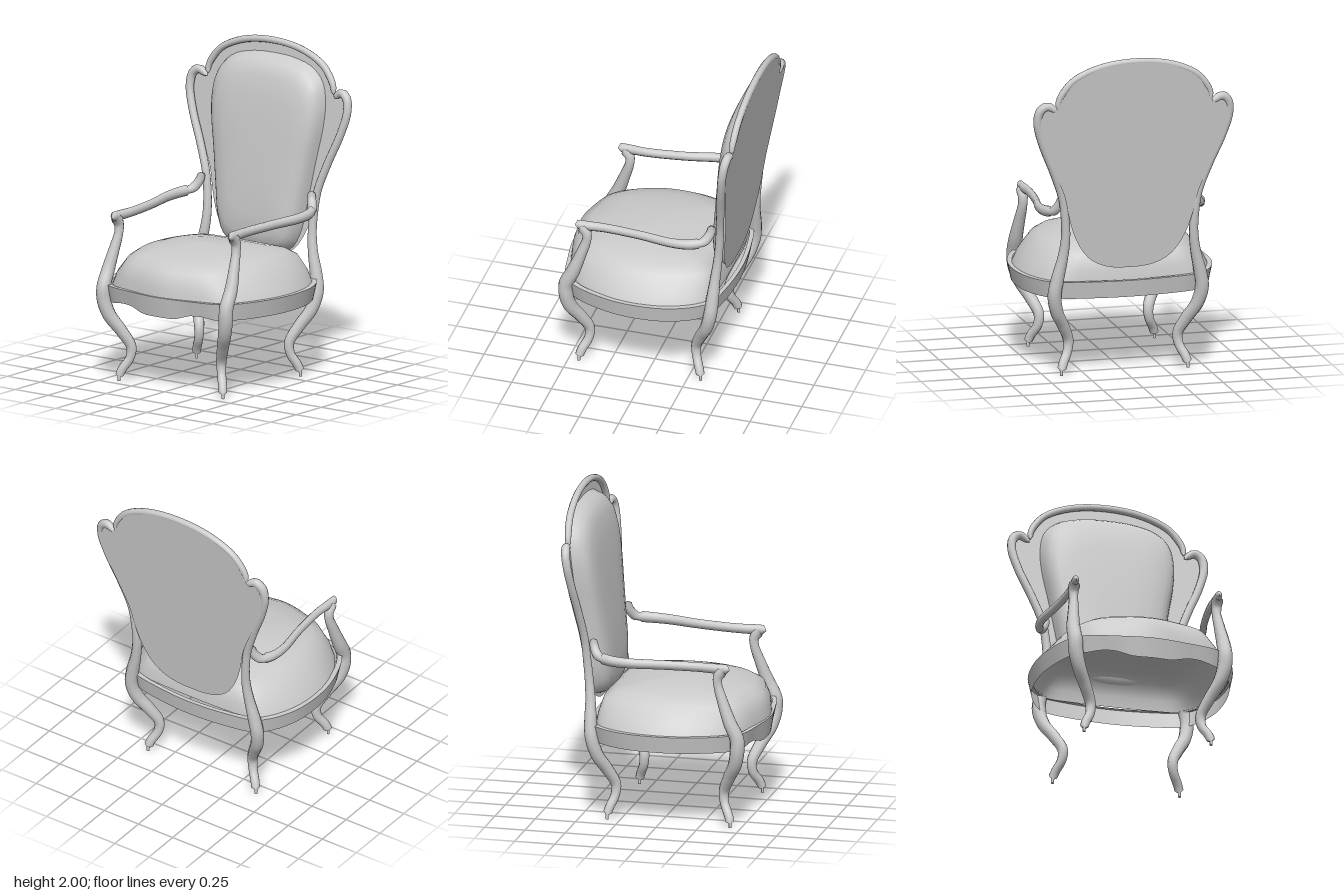
import * as THREE from 'three';
import { toCreasedNormals } from 'three/addons/utils/BufferGeometryUtils.js';

const wood = new THREE.MeshStandardMaterial({ color: 0xcccccc });
const thin = new THREE.MeshStandardMaterial({ color: 0xcccccc, side: THREE.DoubleSide });

// Rail along points [x, y, z, radius]; flat narrows its section in x
function rail(points, steps = 48, flat = 1, sides = 10) {
  const curve = new THREE.CatmullRomCurve3(points.map(p => new THREE.Vector3(p[0], p[1], p[2])), false, 'centripetal');
  const geo = new THREE.TubeGeometry(curve, steps, 1, sides, false);
  const pos = geo.attributes.position, v = new THREE.Vector3();
  for (let i = 0; i <= steps; i++) {
    const t = curve.getUtoTmapping(i / steps) * (points.length - 1);
    const k = Math.min(Math.floor(t), points.length - 2);
    let r = THREE.MathUtils.lerp(points[k][3], points[k + 1][3], t - k);
    if (i === 0 || i === steps) r = 0.001; // closed ends
    const c = curve.getPointAt(i / steps);
    for (let j = 0; j <= sides; j++) {
      const n = i * (sides + 1) + j;
      v.fromBufferAttribute(pos, n).sub(c).multiplyScalar(r);
      v.x *= flat;
      v.add(c);
      pos.setXYZ(n, v.x, v.y, v.z);
    }
  }
  return geo;
}

// Closed symmetric outline from its +x half, running from one centre point to the other
function outline(half, count) {
  const mirrored = half.slice(1, -1).reverse().map(([x, y]) => [-x, y]);
  const pts = [...half, ...mirrored].map(([x, y]) => new THREE.Vector3(x, y, 0));
  return new THREE.CatmullRomCurve3(pts, true, 'centripetal').getPoints(count).slice(0, count);
}

// Skin over a list of equal closed rings
function loft(rings, crease = 0.6) {
  const n = rings[0].length, index = [];
  for (let r = 0; r < rings.length - 1; r++) {
    for (let i = 0; i < n; i++) {
      const a = r * n + i, b = r * n + (i + 1) % n;
      index.push(a, b, a + n, b, b + n, a + n);
    }
  }
  const geo = new THREE.BufferGeometry().setFromPoints(rings.flat());
  geo.setIndex(index);
  return toCreasedNormals(geo, crease);
}

export function createModel() {
  const chair = new THREE.Group();
  const add = (name, geo, mat = wood) => {
    const mesh = new THREE.Mesh(geo, mat);
    mesh.name = name;
    chair.add(mesh);
  };
  const pair = (name, points, steps, flat) => {
    add(name + 'Left', rail(points, steps, flat));
    add(name + 'Right', rail(points.map(([x, y, z, r]) => [-x, y, z, r]), steps, flat));
  };

  // Front legs running up into the arm posts
  pair('frontLeg', [
    [0.395, 0.022, 0.435, 0.018], [0.392, 0.04, 0.432, 0.027],
    [0.38, 0.075, 0.42, 0.028], [0.348, 0.14, 0.388, 0.028], [0.342, 0.21, 0.383, 0.032],
    [0.385, 0.31, 0.425, 0.037], [0.438, 0.41, 0.475, 0.042], [0.462, 0.5, 0.495, 0.045],
    [0.466, 0.58, 0.495, 0.045], [0.466, 0.68, 0.45, 0.042], [0.455, 0.8, 0.405, 0.034],
    [0.445, 0.9, 0.372, 0.028], [0.445, 0.95, 0.37, 0.03], [0.445, 0.985, 0.39, 0.036], [0.445, 1.005, 0.41, 0.028],
  ], 64);

  // Back legs running up into the back stiles and their curled tops
  pair('backLegAndStile', [
    [0.395, 0.022, -0.33, 0.018], [0.392, 0.04, -0.328, 0.027],
    [0.38, 0.075, -0.317, 0.028], [0.348, 0.14, -0.292, 0.028], [0.342, 0.21, -0.288, 0.032],
    [0.385, 0.31, -0.33, 0.037], [0.438, 0.41, -0.38, 0.04], [0.46, 0.52, -0.41, 0.042],
    [0.445, 0.62, -0.42, 0.04], [0.415, 0.75, -0.428, 0.032], [0.4, 0.87, -0.44, 0.028],
    [0.405, 1.0, -0.452, 0.026], [0.425, 1.13, -0.462, 0.025], [0.485, 1.3, -0.483, 0.025],
    [0.56, 1.48, -0.508, 0.025], [0.597, 1.62, -0.528, 0.026], [0.585, 1.7, -0.54, 0.028],
    [0.545, 1.73, -0.547, 0.027], [0.51, 1.715, -0.55, 0.023], [0.48, 1.69, -0.55, 0.012],
  ], 90);

  // Small pins under the feet
  for (const x of [-0.395, 0.395]) {
    for (const z of [-0.33, 0.435]) {
      add('footPin', new THREE.CylinderGeometry(0.009, 0.009, 0.04, 10).translate(x, 0.02, z));
    }
  }

  // Arms, taller than wide, with a raised rear knob
  pair('arm', [
    [0.445, 1.0, 0.445, 0.018], [0.445, 1.005, 0.425, 0.03], [0.443, 1.005, 0.36, 0.031],
    [0.438, 1.006, 0.26, 0.029], [0.46, 1.01, 0.02, 0.029], [0.493, 1.015, -0.17, 0.031],
    [0.49, 1.02, -0.28, 0.033], [0.465, 1.028, -0.355, 0.034],
  ], 40, 0.7);
  pair('armKnob', [
    [0.475, 1.022, -0.335, 0.022], [0.45, 1.04, -0.375, 0.03], [0.425, 1.085, -0.402, 0.028],
    [0.418, 1.115, -0.408, 0.026], [0.416, 1.133, -0.41, 0.014],
  ], 16);

  // Arched top rail
  const crest = [
    [0.475, 1.71, -0.55, 0.012], [0.475, 1.75, -0.552, 0.018], [0.45, 1.805, -0.557, 0.021],
    [0.38, 1.883, -0.563, 0.021], [0.22, 1.953, -0.568, 0.021],
  ];
  add('topRail', rail([
    ...crest, [0, 1.979, -0.57, 0.021], ...crest.slice().reverse().map(([x, y, z, r]) => [-x, y, z, r]),
  ], 60));

  // Flat leaning back panel
  const lean = y => -0.45 - 0.115 * (y - 0.85);
  const panel = outline([
    [0, 0.675], [0.15, 0.69], [0.26, 0.75], [0.34, 0.87], [0.385, 1.0], [0.42, 1.15], [0.485, 1.3],
    [0.56, 1.48], [0.595, 1.62], [0.575, 1.7], [0.53, 1.72], [0.485, 1.71], [0.46, 1.79],
    [0.38, 1.88], [0.22, 1.95], [0, 1.975],
  ], 90);
  const panelGeo = new THREE.ShapeGeometry(new THREE.Shape(panel.map(p => new THREE.Vector2(p.x, p.y))));
  const pp = panelGeo.attributes.position;
  for (let i = 0; i < pp.count; i++) pp.setZ(i, lean(pp.getY(i)) - 0.012);
  panelGeo.computeVertexNormals();
  add('backPanel', panelGeo, thin);

  // Padded back cushion: rings [scale, height above the panel]
  const pad = outline([
    [0, 0.7], [0.14, 0.71], [0.24, 0.75], [0.3, 0.86], [0.335, 1.05], [0.375, 1.3], [0.41, 1.5],
    [0.415, 1.65], [0.385, 1.77], [0.3, 1.85], [0.16, 1.89], [0, 1.9],
  ], 72);
  const padRings = [
    [1, -0.01], [0.975, 0.03], [0.94, 0.06], [0.89, 0.082], [0.8, 0.1], [0.6, 0.112], [0.3, 0.116], [0.001, 0.117],
  ];
  add('backCushion', loft(padRings.map(([s, h]) => pad.map(p => {
    const y = 1.3 + (p.y - 1.3) * s;
    return new THREE.Vector3(p.x * s, y, lean(y) + h);
  })), 0.9), thin);

  // Domed seat cushion: rings [width scale, depth scale, y]
  const seat = outline([
    [0, -0.415], [0.25, -0.41], [0.42, -0.39], [0.5, -0.31], [0.57, -0.14], [0.588, 0.05],
    [0.56, 0.22], [0.47, 0.4], [0.38, 0.485], [0.2, 0.545], [0, 0.577],
  ], 72);
  const seatRings = [
    [0.001, 0.001, 0.845], [0.35, 0.3, 0.832], [0.57, 0.55, 0.813], [0.72, 0.8, 0.787],
    [0.81, 0.93, 0.75], [0.94, 0.985, 0.66], [1, 1, 0.59],
  ];
  add('seatCushion', loft(seatRings.map(([sx, sz, y]) =>
    seat.map(p => new THREE.Vector3(p.x * sx, y, 0.06 + (p.y - 0.06) * sz))), 0.9), thin);

  // Seat rail with a narrow ledge on top and a scalloped front edge, open below
  const apron = outline([
    [0, -0.475], [0.25, -0.455], [0.44, -0.41], [0.52, -0.33], [0.59, -0.17], [0.61, 0.04],
    [0.585, 0.22], [0.5, 0.43], [0.41, 0.515], [0.22, 0.56], [0, 0.587],
  ], 96);
  const ring = (s, yAt) => apron.map(p => new THREE.Vector3(p.x * s, yAt(p), 0.055 + (p.y - 0.055) * s));
  const lower = p => {
    if (p.y < 0.3) return 0.495;
    const x = Math.abs(p.x), step = THREE.MathUtils.smoothstep;
    return 0.475 + 0.035 * step(x, 0.1, 0.26) - 0.015 * step(x, 0.3, 0.42);
  };
  add('seatRail', loft([ring(0.95, () => 0.6), ring(1, () => 0.6), ring(0.965, lower)]), thin);

  return chair;
}
